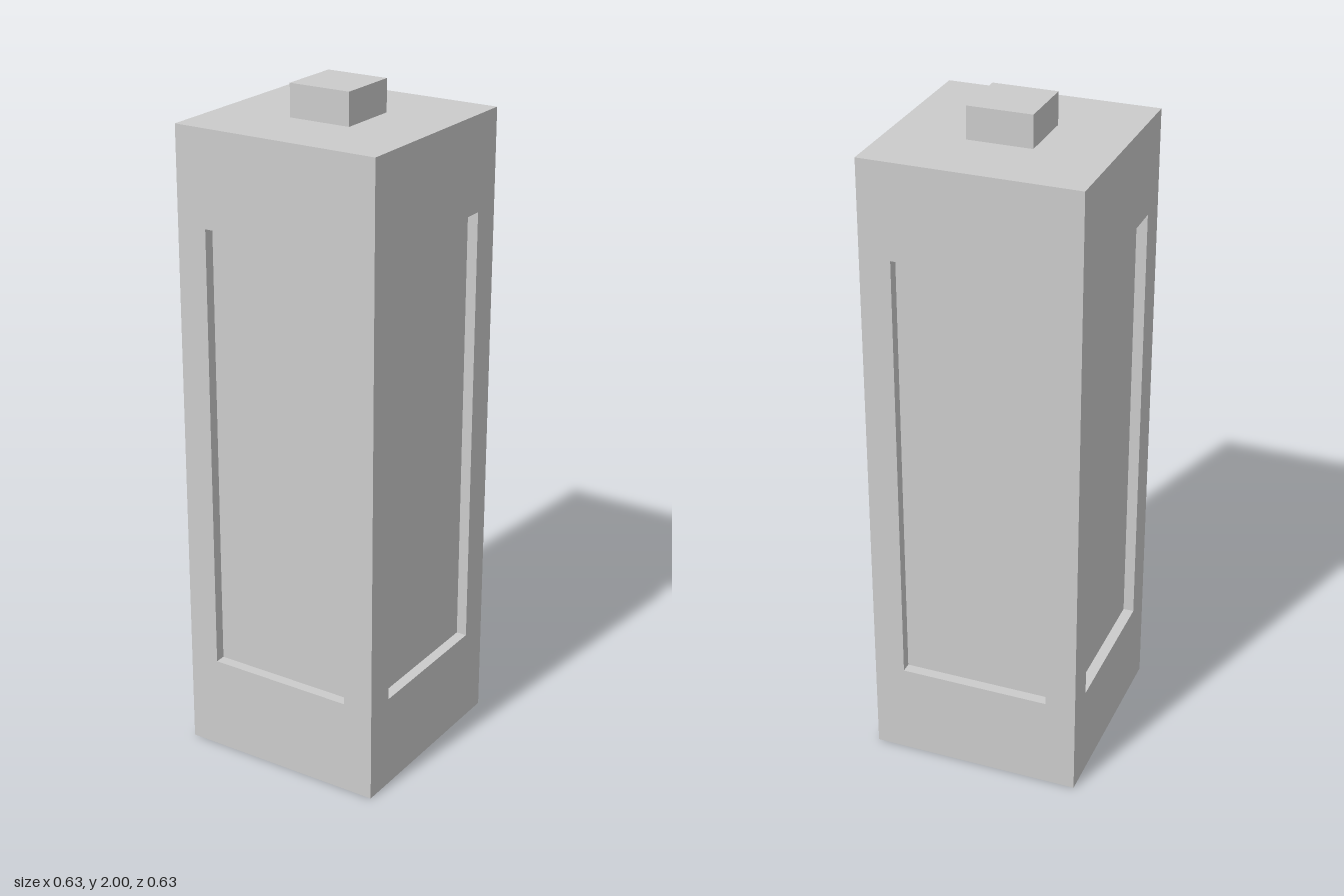
import * as THREE from 'three';

const HALF = 0.317;      // half width of the square body
const HEIGHT = 1.905;    // body height without the knob
const DEPTH = 0.032;     // how far the panels are sunk
const PANEL = { half: 0.225, bottom: 0.285, top: 1.625 };

// Corners of a rectangle, counter-clockwise
const rect = (half, y0, y1) => [
  new THREE.Vector2(-half, y0), new THREE.Vector2(half, y0),
  new THREE.Vector2(half, y1), new THREE.Vector2(-half, y1),
];

// Wall with a panel opening; its back is narrowed so the walls meet in mitred corners
function wallGeometry() {
  const shape = new THREE.Shape(rect(HALF, 0, HEIGHT));
  shape.holes.push(new THREE.Path(rect(PANEL.half, PANEL.bottom, PANEL.top).reverse()));
  const geometry = new THREE.ExtrudeGeometry(shape, { depth: DEPTH, bevelEnabled: false });
  geometry.translate(0, 0, HALF - DEPTH);
  const pos = geometry.attributes.position;
  for (let i = 0; i < pos.count; i++) {
    const x = pos.getX(i);
    if (Math.abs(x) > HALF - 0.001 && pos.getZ(i) < HALF - DEPTH / 2) {
      pos.setX(i, Math.sign(x) * (HALF - DEPTH));
    }
  }
  geometry.computeVertexNormals();
  return geometry;
}

export function createModel() {
  const group = new THREE.Group();
  const material = new THREE.MeshStandardMaterial({ color: 0xcccccc, flatShading: true });
  const add = (name, geometry, y = 0) => {
    const mesh = new THREE.Mesh(geometry, material);
    mesh.name = name;
    mesh.position.y = y;
    group.add(mesh);
    return mesh;
  };

  // Core, whose sides show as the sunken panels
  const coreWidth = 2 * (HALF - DEPTH);
  add('core', new THREE.BoxGeometry(coreWidth, HEIGHT, coreWidth), HEIGHT / 2);

  // Four identical framed walls around the core
  const wall = wallGeometry();
  ['frontWall', 'leftWall', 'backWall', 'rightWall'].forEach((name, i) => {
    add(name, wall).rotation.y = i * Math.PI / 2;
  });

  // Small square knob on top
  const knobHeight = 2 - HEIGHT;
  add('topKnob', new THREE.BoxGeometry(0.19, knobHeight, 0.19), HEIGHT + knobHeight / 2);

  return group;
}
